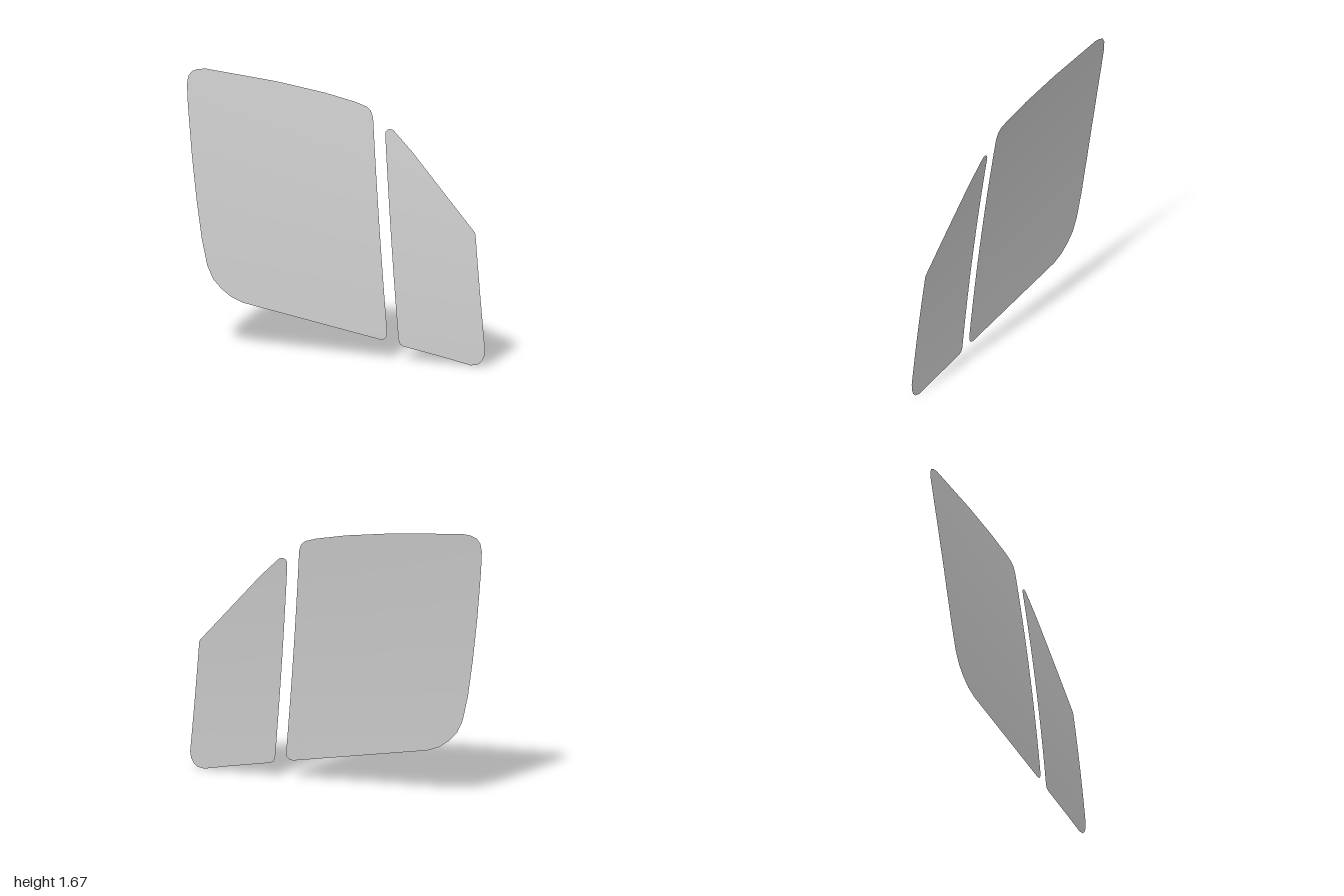
import * as THREE from 'three';

// Outlines, counter-clockwise seen from the front
const MAIN = [
  [-0.88, 1.67], [-0.93, 1.665], [-0.97, 1.65], [-0.993, 1.62], [-1, 1.57], [-0.988, 1.44],
  [-0.95, 1.14], [-0.91, 0.87], [-0.87, 0.64], [-0.83, 0.48], [-0.79, 0.4], [-0.735, 0.345],
  [-0.67, 0.3], [-0.59, 0.27], [0.31, 0.113], [0.335, 0.117], [0.352, 0.135], [0.355, 0.165],
  [0.219, 1.455], [0.203, 1.493], [0.174, 1.517], [0.1, 1.54], [-0.1, 1.581], [-0.42, 1.627],
];
const QUARTER = [
  [0.335, 1.393], [0.317, 1.388], [0.303, 1.372], [0.305, 1.34], [0.43, 0.12], [0.44, 0.095],
  [0.462, 0.083], [0.73, 0.035], [0.905, 0], [0.95, 0.008], [0.977, 0.03], [0.993, 0.06],
  [0.998, 0.1], [0.917, 0.795], [0.91, 0.812], [0.49, 1.26], [0.37, 1.374], [0.352, 1.389],
];

// Depth of the bowed glass: leans back with height, a little more towards +x
function depth(x, y) {
  const h = y + 0.083 * (x + 1) * y;
  return 0.058 - 0.0284 * h - 0.0254 * h * h;
}

// Convex pane filled with rings shrinking to its middle, then bowed
function pane(name, outline, rings = 10, step = 0.12) {
  const edge = [];
  outline.forEach(([x, y], i) => {
    const [nx, ny] = outline[(i + 1) % outline.length];
    const n = Math.ceil(Math.hypot(nx - x, ny - y) / step);
    for (let k = 0; k < n; k++) edge.push([x + (nx - x) * k / n, y + (ny - y) * k / n]);
  });
  const box = new THREE.Box2().setFromPoints(outline.map(([x, y]) => new THREE.Vector2(x, y)));
  const c = box.getCenter(new THREE.Vector2());
  const n = edge.length, pos = [c.x, c.y, depth(c.x, c.y)], index = [];
  for (let r = 1; r <= rings; r++) {
    edge.forEach(([ex, ey], i) => {
      const x = c.x + (ex - c.x) * r / rings, y = c.y + (ey - c.y) * r / rings;
      pos.push(x, y, depth(x, y));
      const j = (i + 1) % n, o = 1 + (r - 1) * n;
      if (r === 1) index.push(0, o + i, o + j);
      else index.push(o - n + i, o + i, o + j, o - n + i, o + j, o - n + j);
    });
  }
  const geo = new THREE.BufferGeometry();
  geo.setAttribute('position', new THREE.Float32BufferAttribute(pos, 3));
  geo.setIndex(index);
  geo.computeVertexNormals();
  const mesh = new THREE.Mesh(geo, new THREE.MeshStandardMaterial({ color: 0xcccccc, side: THREE.DoubleSide }));
  mesh.name = name;
  return mesh;
}

export function createModel() {
  const group = new THREE.Group();
  group.name = 'sideWindows';
  group.add(pane('mainPane', MAIN), pane('quarterPane', QUARTER));
  return group;
}
